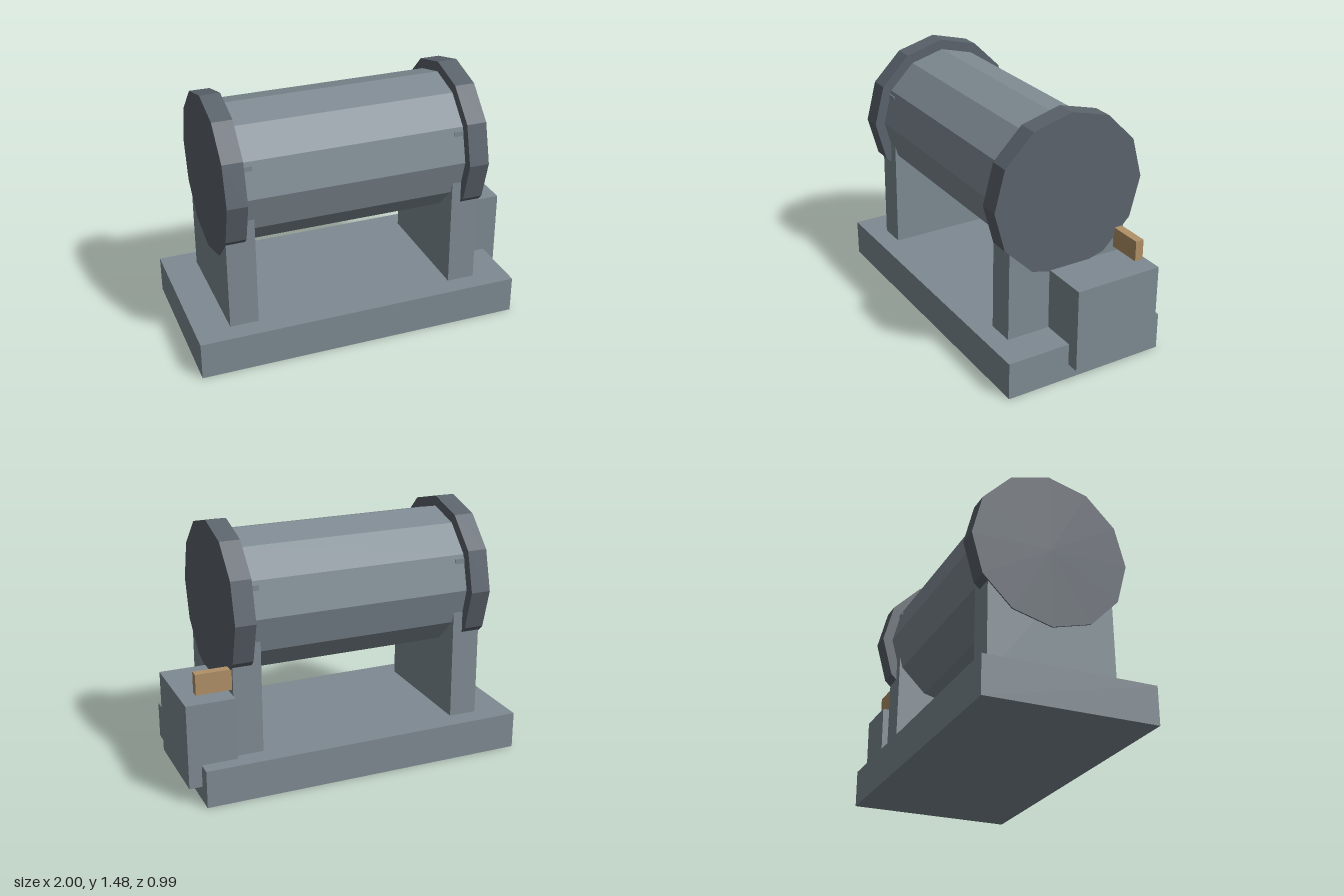
import * as THREE from 'three';

const material = (name, color) => {
  const m = new THREE.MeshStandardMaterial({ color });
  m.name = name;
  m.flatShading = true;
  return m;
};

export function createModel() {
  const model = new THREE.Group();
  model.name = 'drumMachine';
  const steel = material('steelGrey', 0x7e8a92);
  const darkSteel = material('darkSteel', 0x5b636c);
  const wood = material('wood', 0xb09067);

  const add = (name, geometry, mat) => {
    const mesh = new THREE.Mesh(geometry, mat);
    mesh.name = name;
    model.add(mesh);
    return mesh;
  };

  // Box given by its extents on each axis
  const box = (name, [x0, x1], [y0, y1], [z0, z1], mat) => {
    const g = new THREE.BoxGeometry(x1 - x0, y1 - y0, z1 - z0);
    g.translate((x0 + x1) / 2, (y0 + y1) / 2, (z0 + z1) / 2);
    return add(name, g, mat);
  };

  // Twelve-sided cylinder lying along x
  const axisY = 1.01;
  const roller = (name, x0, x1, radius, mat) => {
    const g = new THREE.CylinderGeometry(radius, radius, x1 - x0, 12);
    g.rotateZ(Math.PI / 2).translate((x0 + x1) / 2, axisY, 0);
    return add(name, g, mat);
  };

  box('base', [-1, 0.925], [0, 0.22], [-0.493, 0.493], steel);

  // Uprights taper slightly towards the top, poking just past the drum
  const upright = (name, x0, x1) => {
    const mesh = box(name, [x0, x1], [0.2, 1.19], [-0.376, 0.376], steel);
    const p = mesh.geometry.attributes.position;
    for (let i = 0; i < p.count; i++) {
      if (p.getY(i) > 1) p.setZ(i, Math.sign(p.getZ(i)) * 0.364);
    }
    mesh.geometry.computeVertexNormals();
  };
  upright('leftUpright', 0.555, 0.72);
  upright('rightUpright', -0.797, -0.63);

  // Drum and its end caps
  roller('drum', -0.7, 0.62, 0.405, steel);
  roller('leftCap', 0.61, 0.728, 0.465, darkSteel);
  roller('rightCap', -0.805, -0.688, 0.465, darkSteel);

  // Drive housing with its wooden lever
  box('driveHousing', [0.718, 1], [0.09, 0.582], [-0.41, 0.115], steel);
  box('lever', [0.7, 0.925], [0.612, 0.732], [-0.355, -0.305], wood);

  return model;
}
